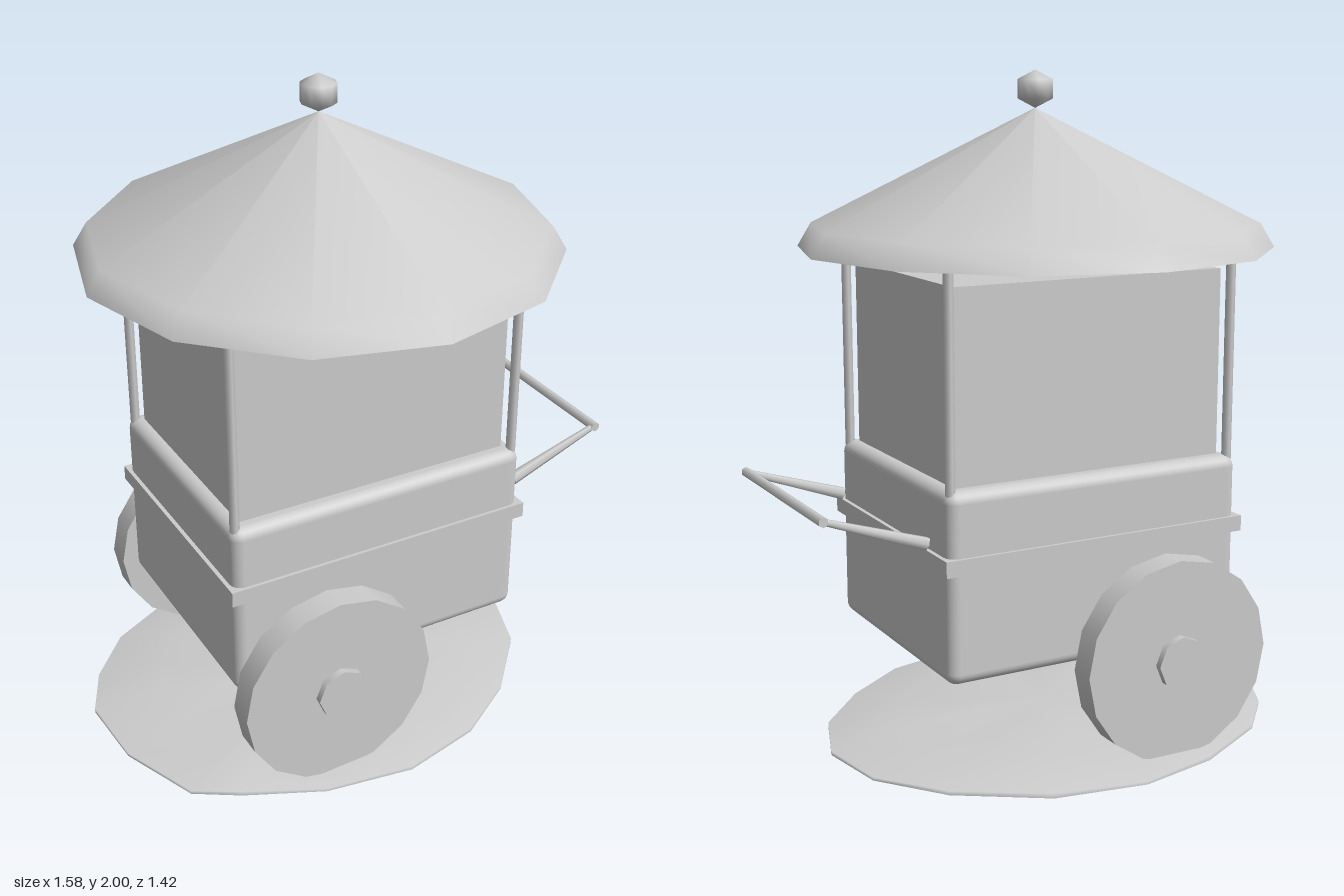
import * as THREE from 'three';
import { RoundedBoxGeometry } from 'three/addons/geometries/RoundedBoxGeometry.js';

const CX = -0.04; // centre line of the cart

export function createModel() {
  const model = new THREE.Group();
  model.name = 'vendorCart';
  const grey = new THREE.MeshStandardMaterial({ color: 0xcccccc });
  grey.name = 'plain grey';

  const add = (name, geometry, x, y, z) => {
    const mesh = new THREE.Mesh(geometry, grey);
    mesh.name = name;
    mesh.position.set(x, y, z);
    model.add(mesh);
    return mesh;
  };

  // Tapered rod between two points
  const rod = (name, a, b, rA, rB, sides) => {
    const dir = b.clone().sub(a);
    const mid = a.clone().add(b).multiplyScalar(0.5);
    const mesh = add(name, new THREE.CylinderGeometry(rB, rA, dir.length(), sides), mid.x, mid.y, mid.z);
    mesh.quaternion.setFromUnitVectors(new THREE.Vector3(0, 1, 0), dir.normalize());
    return mesh;
  };

  // Cart body, trim band and glazed cabinet
  add('body', new RoundedBoxGeometry(0.96, 0.56, 0.77, 3, 0.035), CX, 0.592, 0);
  add('trimBand', new THREE.BoxGeometry(0.985, 0.047, 0.79), CX, 0.662, 0);
  add('cabinet', new THREE.BoxGeometry(0.875, 0.565, 0.67), CX, 1.1475, 0);
  add('heap', new THREE.ConeGeometry(0.3, 0.17, 8), CX, 1.365, 0);

  // Four corner posts
  for (const sx of [-1, 1]) {
    for (const sz of [-1, 1]) {
      add('post', new THREE.CylinderGeometry(0.0145, 0.0145, 0.63, 6), CX + sx * 0.46, 1.173, sz * 0.355);
    }
  }

  // Canopy: shallow cone with a turned-down rim and a flat underside
  const canopy = [[0.71, 1.485], [0.668, 1.555], [0.001, 1.89]].map(([r, y]) => new THREE.Vector2(r, y));
  add('canopy', new THREE.LatheGeometry(canopy, 12), CX, 0, 0);
  const underside = add('canopyUnderside', new THREE.CircleGeometry(0.71, 12), CX, 1.485, 0);
  underside.rotation.x = Math.PI / 2;
  const finial = add('finial', new THREE.SphereGeometry(0.055, 10, 3), CX, 1.945, 0);
  finial.scale.set(1.1, 1, 1.1);

  // Wheels with hubs
  for (const s of [-1, 1]) {
    const wheel = add('wheel', new THREE.CylinderGeometry(0.305, 0.305, 0.083, 16), -0.245, 0.31, s * 0.461);
    wheel.rotation.x = Math.PI / 2;
    const hub = add('hub', new THREE.CylinderGeometry(0.08, 0.08, 0.124, 8), -0.245, 0.31, s * 0.462);
    hub.rotation.x = Math.PI / 2;
  }

  // Push handle
  for (const s of [-1, 1]) {
    rod('handleArm', new THREE.Vector3(0.47, 0.718, s * 0.305), new THREE.Vector3(0.775, 0.822, s * 0.302), 0.02, 0.01, 6);
  }
  rod('handleBar', new THREE.Vector3(0.774, 0.822, -0.313), new THREE.Vector3(0.774, 0.822, 0.313), 0.015, 0.015, 6);

  add('groundPatch', groundGeometry(), 0, 0, 0);
  return model;
}

// Low mound with an uneven outline, built from concentric rings
function groundGeometry() {
  const outline = [
    [0.64, 0.02], [0.57, 0.22], [0.4, 0.41], [0.2, 0.54], [-0.05, 0.6], [-0.32, 0.56],
    [-0.55, 0.455], [-0.68, 0.375], [-0.78, 0.13], [-0.793, -0.11], [-0.717, -0.27],
    [-0.58, -0.42], [-0.33, -0.55], [-0.08, -0.6], [0.2, -0.55], [0.45, -0.39], [0.6, -0.2],
  ];
  const n = outline.length;
  const cx = -0.07;
  const positions = [];
  const index = [];
  const ring = (scale, y, bump) => outline.forEach(([x, z], i) =>
    positions.push(cx + (x - cx) * scale, y + bump * Math.sin(i * 2.3), z * scale));
  ring(1, 0, 0);
  ring(1, 0.012, 0.003);
  ring(0.7, 0.038, 0.006);
  ring(0.35, 0.05, 0.005);
  positions.push(cx, 0.053, 0);
  const top = 4 * n;
  // Flat underside has its own vertices for a sharp edge
  ring(1, 0, 0);
  positions.push(cx, 0, 0);
  const under = top + 1;
  for (let i = 0; i < n; i++) {
    const j = (i + 1) % n;
    for (let r = 0; r < 3; r++) {
      const a = r * n + i, b = r * n + j, c = a + n, d = b + n;
      index.push(a, c, b, b, c, d);
    }
    index.push(3 * n + i, top, 3 * n + j);
    index.push(under + i, under + j, under + n);
  }
  const geometry = new THREE.BufferGeometry();
  geometry.setAttribute('position', new THREE.Float32BufferAttribute(positions, 3));
  geometry.setIndex(index);
  geometry.computeVertexNormals();
  return geometry;
}
